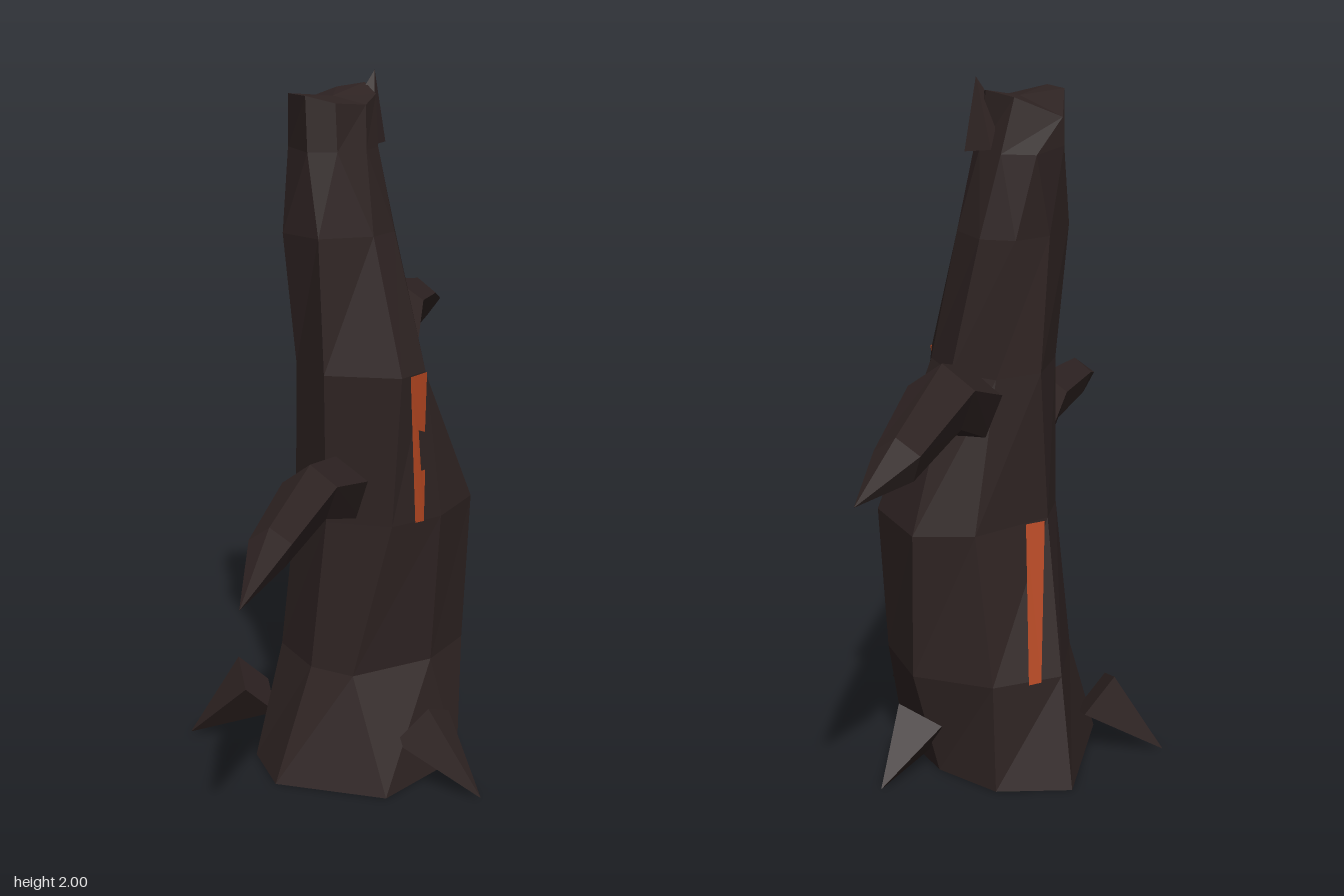
import * as THREE from 'three';

const bark = new THREE.MeshStandardMaterial({ color: 0x2e2322, flatShading: true });
bark.name = 'charred bark';
const ember = new THREE.MeshStandardMaterial({ color: 0xb04520, side: THREE.DoubleSide });
ember.name = 'glowing ember';

const V = (x, y, z) => new THREE.Vector3(x, y, z);

// Skin over rings of points (anticlockwise seen from the far end), closed by fans
function loft(name, rings) {
  const pos = [];
  const tri = (...p) => p.forEach((v) => pos.push(v.x, v.y, v.z));
  const mid = (ring) => ring.reduce((s, v) => s.add(v), V(0, 0, 0)).divideScalar(ring.length);
  const n = rings[0].length;
  const first = rings[0], last = rings[rings.length - 1];
  const start = mid(first), end = mid(last);
  for (let j = 0; j < n; j++) {
    const k = (j + 1) % n;
    for (let i = 0; i < rings.length - 1; i++) {
      const a = rings[i], b = rings[i + 1];
      tri(a[j], a[k], b[k]);
      tri(a[j], b[k], b[j]);
    }
    tri(first[k], first[j], start);
    tri(last[j], last[k], end);
  }
  const geo = new THREE.BufferGeometry();
  geo.setAttribute('position', new THREE.Float32BufferAttribute(pos, 3));
  geo.computeVertexNormals();
  const mesh = new THREE.Mesh(geo, bark);
  mesh.name = name;
  return mesh;
}

// Tapering limb through centre points, each [x, y, z, radius]
function limb(name, stations, sides, turn = 0) {
  const c = stations.map(([x, y, z]) => V(x, y, z));
  const rings = stations.map((s, i) => {
    const dir = c[Math.min(i + 1, c.length - 1)].clone().sub(c[Math.max(i - 1, 0)]).normalize();
    const side = V(0, 1, 0).cross(dir).normalize();
    const up = dir.clone().cross(side);
    return Array.from({ length: sides }, (_, j) => {
      const a = Math.PI / 2 + turn + (j / sides) * Math.PI * 2;
      return c[i].clone()
        .addScaledVector(side, Math.cos(a) * s[3])
        .addScaledVector(up, Math.sin(a) * s[3]);
    });
  });
  return loft(name, rings);
}

// Thin flat-coloured patch lying on the bark, depth given by a rule
function patch(name, shape, depth) {
  const geo = new THREE.ShapeGeometry(shape);
  const p = geo.attributes.position;
  for (let i = 0; i < p.count; i++) p.setZ(i, depth(p.getX(i), p.getY(i)));
  geo.computeVertexNormals();
  const mesh = new THREE.Mesh(geo, ember);
  mesh.name = name;
  return mesh;
}

const outline = (pts) => new THREE.Shape(pts.map(([x, y]) => new THREE.Vector2(x, y)));

export function createModel() {
  const group = new THREE.Group();
  group.name = 'burntTree';

  // Crooked eight-sided trunk: height, then x, z of each corner
  const sections = [
    [0, [-.34, .12], [-.11, .355], [.2, .24], [.245, .12], [.24, -.12], [.15, -.31], [-.05, -.4], [-.3, -.08]],
    [.32, [-.2, .08], [-.13, .2], [.13, .2], [.3, .1], [.32, -.12], [.15, -.29], [-.06, -.31], [-.19, -.12]],
    [.76, [-.16, .1], [-.02, .23], [.15, .215], [.325, .1], [.325, -.14], [.17, -.22], [-.08, -.18], [-.16, -.08]],
    [1.19, [-.17, .11], [0, .245], [.1, .205], [.15, .1], [.16, -.05], [.08, -.17], [-.06, -.17], [-.17, -.05]],
    [1.57, [-.18, .1], [-.03, .14], [.06, .1], [.1, .03], [.09, -.09], [.01, -.15], [-.1, -.14], [-.22, -.03]],
    [1.8, [-.19, .06], [-.12, .1], [-.03, .1], [.03, .06], [.05, -.01], [.03, -.1], [-.05, -.155], [-.18, -.07]],
  ];
  const rings = sections.map(([y, ...pts]) => pts.map(([x, z]) => V(x, y, z)));
  // Uneven broken rim
  rings.push([
    V(-.19, 1.95, .05), V(-.12, 1.93, .09), V(-.02, 1.92, .08), V(.04, 1.94, .03),
    V(.045, 1.965, -.04), V(-.01, 1.95, -.1), V(-.12, 1.9, -.17), V(-.2, 1.95, -.03),
  ]);
  group.add(loft('trunk', rings));

  // Splinter standing on the broken top
  group.add(loft('topSplinter', [
    [V(.04, 1.8, .02), V(.1, 1.8, -.02), V(.05, 1.81, -.08), V(0, 1.9, -.03)],
    Array.from({ length: 4 }, () => V(.065, 2, -.02)),
  ]));

  // Two drooping branches
  group.add(limb('leftBranch', [
    [.11, 1.09, -.07, .11], [.335, 1.23, -.36, .095], [.575, 1.185, -.62, .065], [.745, 1.14, -.75, .001],
  ], 5));
  group.add(limb('rightBranch', [
    [-.09, .84, .07, .1], [-.33, .935, .32, .08], [-.57, .9, .56, .06], [-.75, .835, .745, .001],
  ], 5));

  // Pointed roots around the foot
  const roots = [
    ['frontRoot', [.06, .15, .27, .1], [.12, .005, .49, .001]],
    ['rightRoot', [-.24, .17, -.19, .1], [-.405, .005, -.31, .001]],
    ['leftRoot', [.28, .14, -.07, .1], [.44, .005, -.155, .001]],
  ];
  for (const [name, base, tip] of roots) group.add(limb(name, [base, tip], 4, .3));

  // Glowing cracks, the front one with a jagged notch
  const front = outline([
    [.03, 1.19], [.055, .76], [.085, .76], [.09, .91], [.075, .91],
    [.065, 1.03], [.09, 1.02], [.1, 1.19],
  ]);
  group.add(patch('frontCrack', front, (x, y) => {
    const t = (y - .76) / .43;
    return .236 - .09 * x + t * (.017 - .31 * x);
  }));
  const back = outline([[-.06, .76], [0, .76], [.05, .32], [.01, .32]]);
  group.add(patch('backCrack', back, (x, y) => -.2 - (.76 - y) * .27));

  return group;
}
